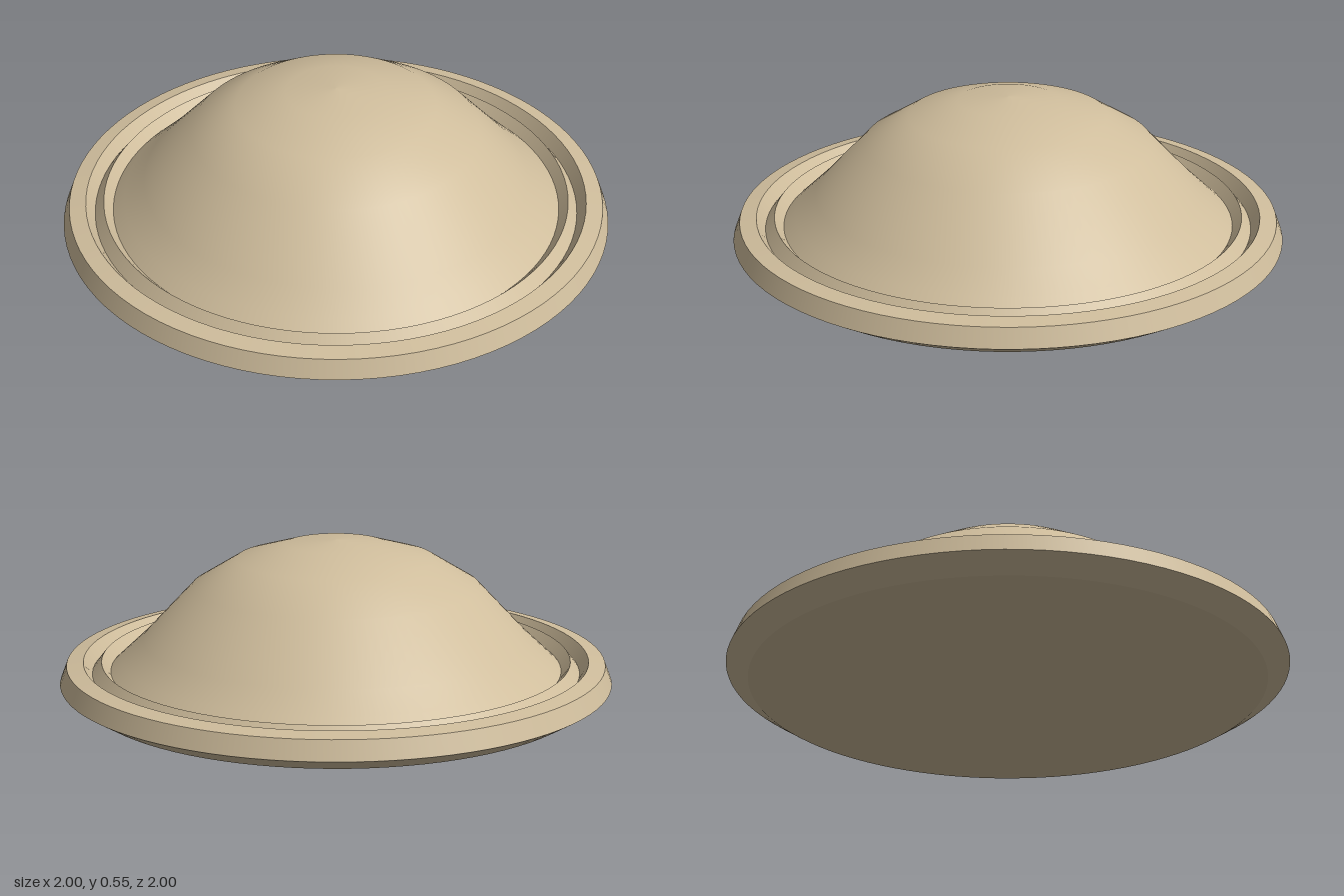
import * as THREE from 'three';

const SEGMENTS = 96;

export function createModel() {
  const model = new THREE.Group();
  model.name = 'domedDisc';
  const material = new THREE.MeshStandardMaterial({ color: 0xcfbd9c });

  // Revolve a profile, running from the underside outwards and back in over the top
  const lathe = (name, profile, parent) => {
    const points = profile.map(([r, y]) => new THREE.Vector2(r, y));
    const mesh = new THREE.Mesh(new THREE.LatheGeometry(points, SEGMENTS), material);
    mesh.name = name;
    parent.add(mesh);
  };

  // Base and rim: one band per profile step keeps the edges between them sharp
  const base = new THREE.Group();
  base.name = 'base';
  model.add(base);
  const rim = [
    ['underside', 0, 0],
    ['lowerBevel', 0.92, 0],
    ['outerWall', 1, 0.05],
    ['rimTop', 0.975, 0.115],
    ['outerGrooveWall', 0.915, 0.125],
    ['ridgeOuterWall', 0.884, 0.08],
    ['ridgeInnerWall', 0.85, 0.122],
    ['end', 0.818, 0.085],
  ];
  for (let i = 0; i < rim.length - 1; i++) {
    const [name, ...start] = rim[i];
    lathe(name, [start, rim[i + 1].slice(1)], base);
  }

  // Smooth dome flaring out into the inner groove
  lathe('dome', [
    [0.818, 0.085], [0.775, 0.125], [0.7, 0.195], [0.52, 0.385],
    [0.36, 0.482], [0.18, 0.535], [0, 0.548],
  ], model);

  return model;
}
